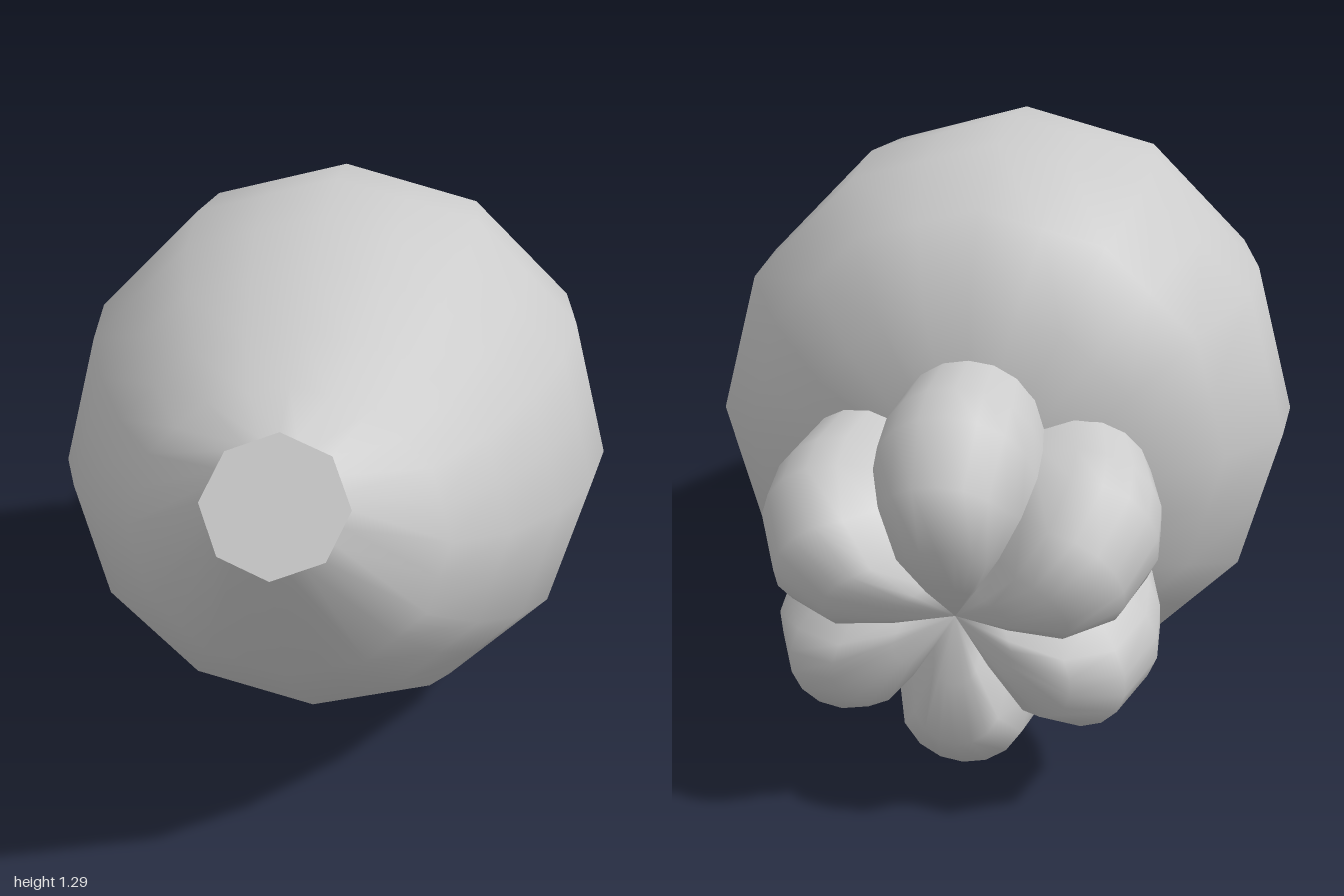
import * as THREE from 'three';
import { mergeVertices } from 'three/addons/utils/BufferGeometryUtils.js';

const material = new THREE.MeshStandardMaterial({ color: 0xcccccc });

// Smooth surface from a grid of points: point(row, col) returns [x, y, z]
function gridSurface(name, rows, cols, point) {
  const positions = [], index = [];
  for (let r = 0; r <= rows; r++)
    for (let c = 0; c <= cols; c++) positions.push(...point(r, c));
  for (let r = 0; r < rows; r++)
    for (let c = 0; c < cols; c++) {
      const a = r * (cols + 1) + c, b = a + cols + 1;
      index.push(a, a + 1, b, a + 1, b + 1, b);
    }
  let geometry = new THREE.BufferGeometry();
  geometry.setAttribute('position', new THREE.Float32BufferAttribute(positions, 3));
  geometry.setIndex(index);
  geometry = mergeVertices(geometry);
  geometry.computeVertexNormals();
  const mesh = new THREE.Mesh(geometry, material);
  mesh.name = name;
  return mesh;
}

// Radius of a regular n-sided outline of unit size at an angle
function polygonRadius(angle, n) {
  const step = (2 * Math.PI) / n;
  const local = (angle + 1e-9) % step;
  return Math.cos(step / 2) / Math.cos(local - step / 2);
}

// Body rings, back to front: [top z, top y, bottom z, bottom y, half width]
const RINGS = [
  [-0.64, 0.65, -0.64, 0.65, 0],
  [-0.665, 0.8, -0.6, 0.5, 0.16],
  [-0.64, 1.02, -0.54, 0.3, 0.36],
  [-0.52, 1.18, -0.46, 0.17, 0.5],
  [-0.29, 1.27, -0.3, 0.05, 0.62],
  [-0.07, 1.295, -0.09, 0, 0.64],
  [0.16, 1.28, 0.16, 0.07, 0.6],
  [0.35, 1.23, 0.41, 0.21, 0.525],
  [0.55, 1.17, 0.64, 0.38, 0.42],
  [0.72, 1.125, 0.82, 0.56, 0.31],
  [0.85, 1.09, 1, 0.87, 0.137],
];
const COLS = 24;

function ringPoint(ring, col, scale = 1) {
  const [tz, ty, bz, by, w] = RINGS[ring];
  const angle = (col / COLS) * Math.PI * 2;
  const k = scale * polygonRadius(angle, ring === RINGS.length - 1 ? 8 : 12);
  const s = Math.sin(angle) * k;
  return [
    w * Math.cos(angle) * k,
    (ty + by) / 2 + (s * (ty - by)) / 2,
    (tz + bz) / 2 + (s * (tz - bz)) / 2,
  ];
}

// Lobe profile, base to centre: [radius scale, depth at middle, depth at valley]
const LOBE = [
  [0.85, -0.1, -0.1],
  [0.92, 0, 0],
  [1, 0.13, 0.12],
  [1, 0.22, 0.2],
  [0.86, 0.35, 0.27],
  [0.6, 0.4, 0.31],
  [0.3, 0.36, 0.31],
  [0, 0.3, 0.3],
];
const LOBES = 6, LOBE_COLS = 8, LOBE_CENTRE = 0.265, LOBE_RADIUS = 0.157;

function lobePoint(row, col) {
  const [scale, middle, valley] = LOBE[row];
  const u = (col / LOBE_COLS) * 2 - 1;
  const angle = (u * Math.PI) / LOBES;
  // Outline is a circle set off from the axis
  const outline = LOBE_CENTRE * Math.cos(angle)
    + Math.sqrt(LOBE_RADIUS ** 2 - (LOBE_CENTRE * Math.sin(angle)) ** 2);
  const r = outline * scale;
  const depth = valley + (middle - valley) * Math.sqrt(1 - u * u);
  return [r * Math.cos(angle), r * Math.sin(angle), depth];
}

export function createModel() {
  const model = new THREE.Group();
  model.name = 'model';

  // Tilted egg-shaped body with a flat tip
  model.add(gridSurface('body', RINGS.length - 1, COLS, ringPoint));
  model.add(gridSurface('tipCap', 1, COLS, (r, c) => ringPoint(RINGS.length - 1, c, 1 - r)));

  // Six-lobed rosette pointing back and slightly down
  const rosette = new THREE.Group();
  rosette.name = 'rosette';
  for (let i = 0; i < LOBES; i++) {
    const lobe = gridSurface('lobe', LOBE.length - 1, LOBE_COLS, lobePoint);
    lobe.rotation.z = Math.PI / 2 + (i * 2 * Math.PI) / LOBES;
    rosette.add(lobe);
  }
  rosette.position.set(0, 0.54, -0.54);
  rosette.rotation.x = Math.PI - 0.31;
  model.add(rosette);

  return model;
}
